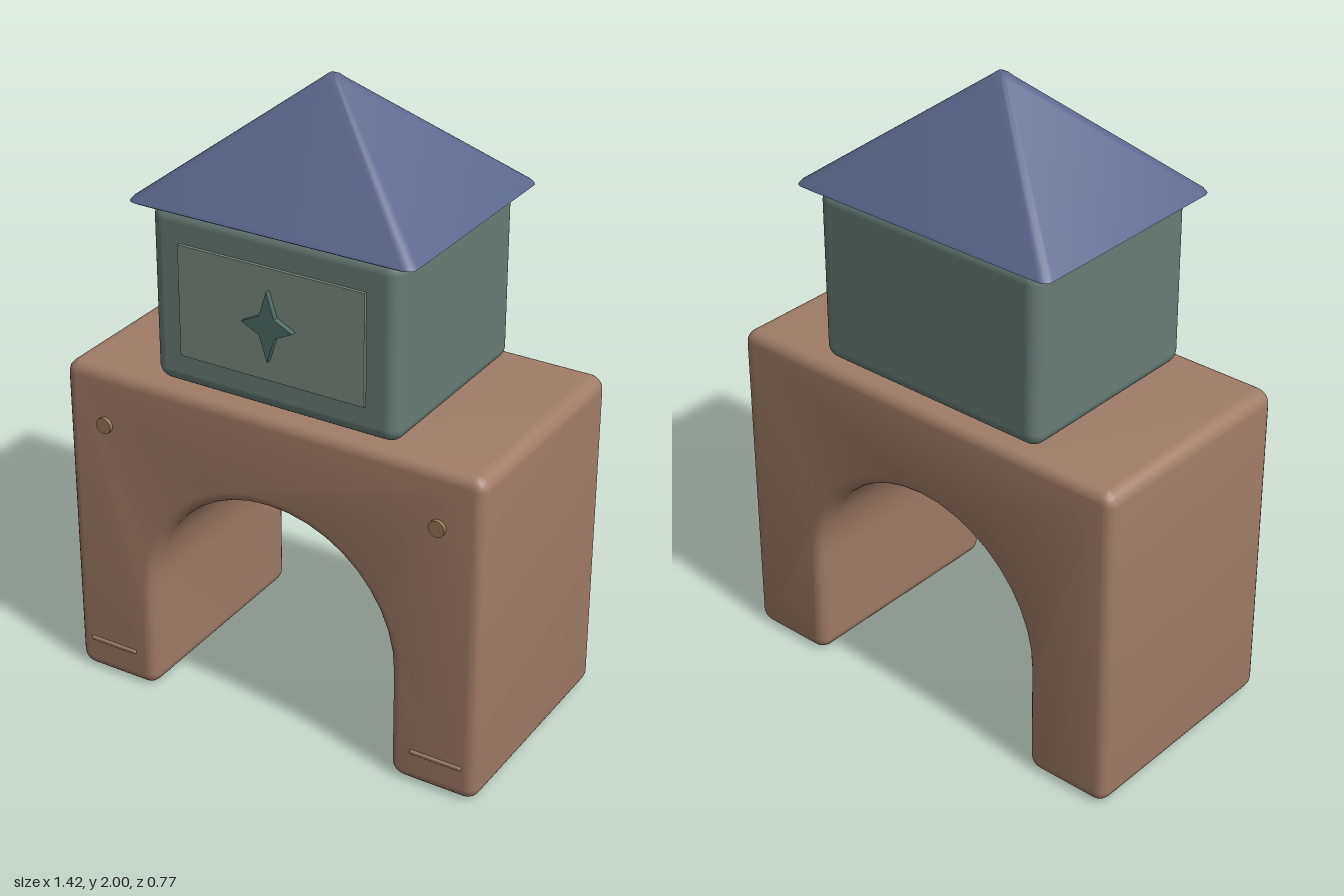
import * as THREE from 'three';
import { toCreasedNormals } from 'three/addons/utils/BufferGeometryUtils.js';
import { RoundedBoxGeometry } from 'three/addons/geometries/RoundedBoxGeometry.js';

const CENTRE_Z = -0.005;

const paint = (color) => new THREE.MeshStandardMaterial({ color });

function part(group, name, geometry, material, x = 0, y = 0, z = 0) {
  const mesh = new THREE.Mesh(geometry, material);
  mesh.name = name;
  mesh.position.set(x, y, z);
  group.add(mesh);
  return mesh;
}

// Arched block: the outline is drawn inset by the bevel, which rounds it back out
function archGeometry() {
  const b = 0.035, r = 0.012, depth = 0.755;
  const out = 0.71 - b, inn = 0.42 + b, low = b, high = 1.08 - b, spring = 0.36;
  const s = new THREE.Shape();
  s.moveTo(-out + r, low);
  s.lineTo(-inn - r, low);
  s.quadraticCurveTo(-inn, low, -inn, low + r);
  s.lineTo(-inn, spring);
  s.absarc(0, spring, inn, Math.PI, 0, true);
  s.lineTo(inn, low + r);
  s.quadraticCurveTo(inn, low, inn + r, low);
  s.lineTo(out - r, low);
  s.quadraticCurveTo(out, low, out, low + r);
  s.lineTo(out, high - r);
  s.quadraticCurveTo(out, high, out - r, high);
  s.lineTo(-out + r, high);
  s.quadraticCurveTo(-out, high, -out, high - r);
  s.lineTo(-out, low + r);
  s.quadraticCurveTo(-out, low, -out + r, low);
  const g = new THREE.ExtrudeGeometry(s, {
    depth: depth - 2 * b, bevelEnabled: true, bevelSize: b, bevelThickness: b,
    bevelSegments: 5, curveSegments: 10,
  });
  g.translate(0, 0, -depth / 2 + b);
  return toCreasedNormals(g, 0.6);
}

// Hipped roof: rounded rectangles shrinking towards a softened tip
function roofGeometry() {
  const halfX = 0.465, halfZ = 0.366, steps = 4;
  const rings = [[0, 1.635], [0.98, 1.635], [1, 1.64], [0.985, 1.65],
    [0.07, 1.982], [0.035, 1.995], [0, 2]];
  const loops = rings.map(([s, y]) => {
    const hx = halfX * s, hz = halfZ * s, r = Math.min(0.03, hz * 0.6);
    const loop = [];
    for (let c = 0; c < 4; c++) {
      const sx = c === 0 || c === 3 ? 1 : -1, sz = c < 2 ? 1 : -1;
      for (let i = 0; i <= steps; i++) {
        const a = (c + i / steps) * Math.PI / 2;
        loop.push([sx * (hx - r) + r * Math.cos(a), y, sz * (hz - r) + r * Math.sin(a)]);
      }
    }
    return loop;
  });
  const pos = [];
  for (let k = 0; k < loops.length - 1; k++) {
    const lo = loops[k], hi = loops[k + 1], n = lo.length;
    for (let i = 0; i < n; i++) {
      const j = (i + 1) % n;
      if (rings[k + 1][0] > 0) pos.push(...lo[i], ...hi[i], ...hi[j]);
      if (rings[k][0] > 0) pos.push(...lo[i], ...hi[j], ...lo[j]);
    }
  }
  const g = new THREE.BufferGeometry();
  g.setAttribute('position', new THREE.Float32BufferAttribute(pos, 3));
  return toCreasedNormals(g, 0.75);
}

// Four-pointed star
function starGeometry() {
  const pts = [];
  for (let i = 0; i < 8; i++) {
    const a = i * Math.PI / 4, tip = i % 2 === 0;
    pts.push(new THREE.Vector2(Math.cos(a) * (tip ? 0.085 : 0.036), Math.sin(a) * (tip ? 0.11 : 0.042)));
  }
  return new THREE.ExtrudeGeometry(new THREE.Shape(pts), { depth: 0.02, bevelEnabled: false });
}

export function createModel() {
  const model = new THREE.Group();
  model.name = 'archTower';
  const clay = paint(0xa07c68), peg = paint(0x957556);

  // Main blocks
  part(model, 'archBlock', archGeometry(), clay, 0, 0, CENTRE_Z);
  part(model, 'towerBlock', new RoundedBoxGeometry(0.82, 0.56, 0.67, 5, 0.045),
    paint(0x687c76), 0, 1.36, CENTRE_Z);
  part(model, 'roof', roofGeometry(), paint(0x5b668c), 0, 0, CENTRE_Z);

  // Front panel and star
  part(model, 'frontPanel', new THREE.BoxGeometry(0.615, 0.35, 0.02), paint(0x7a887e), 0, 1.36, 0.33);
  part(model, 'star', starGeometry(), paint(0x4f6a64), 0, 1.36, 0.337);

  // Pegs and foot ridges, mirrored
  for (const side of [1, -1]) {
    const name = side > 0 ? 'left' : 'right';
    const knob = new THREE.CylinderGeometry(0.026, 0.026, 0.03, 16).rotateX(Math.PI / 2);
    part(model, name + 'Peg', knob, peg, side * 0.568, 0.898, 0.37);
    part(model, name + 'FootRidge', new RoundedBoxGeometry(0.17, 0.014, 0.02, 2, 0.005),
      clay, side * 0.577, 0.11, 0.369);
  }
  return model;
}
